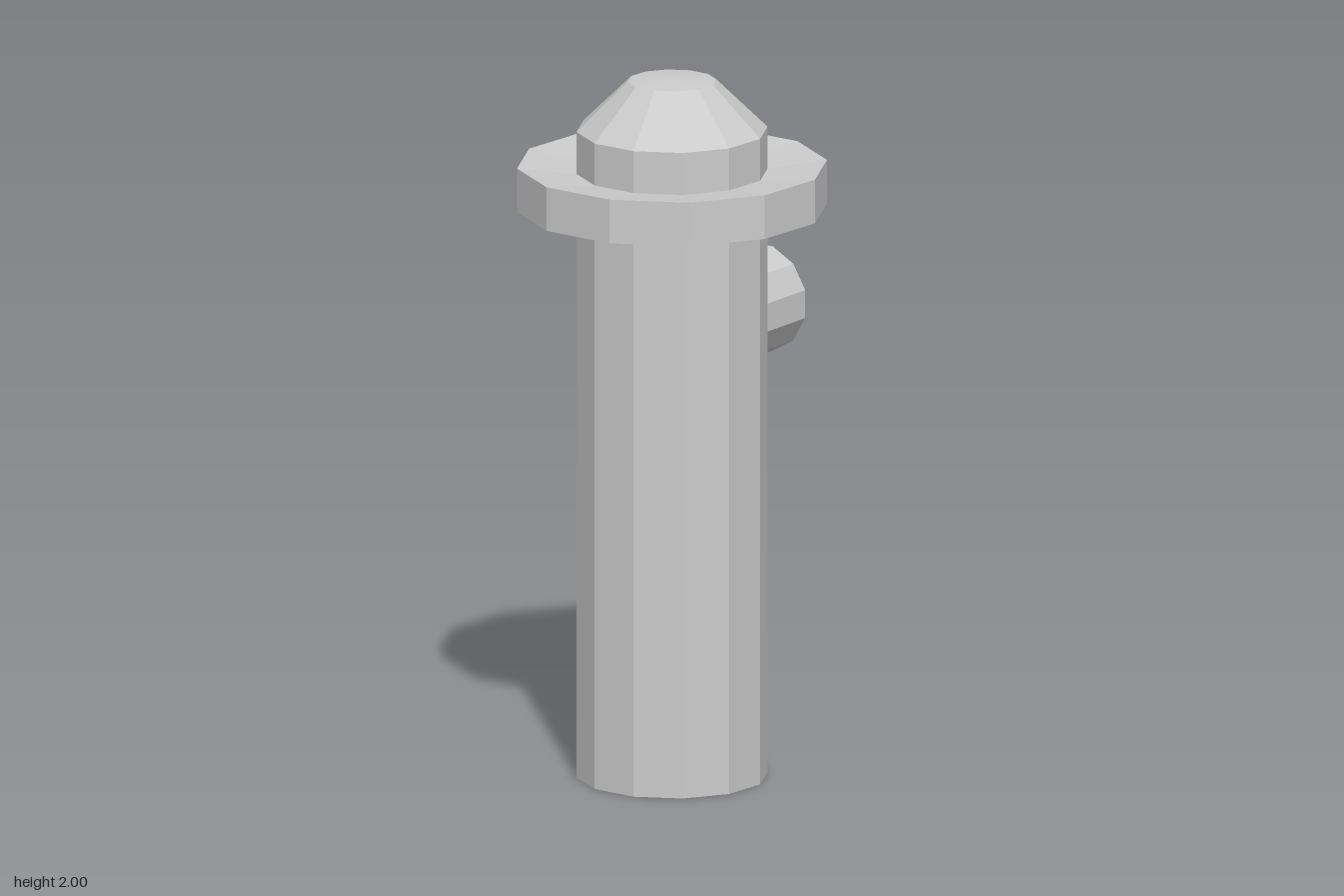
import * as THREE from 'three';

const SIDES = 12;
const material = new THREE.MeshStandardMaterial({ color: 0xcccccc, flatShading: true });

// Low-poly turned part from [radius, height] pairs, listed bottom to top
function turned(name, profile) {
  const points = profile.map(([r, y]) => new THREE.Vector2(r, y));
  const mesh = new THREE.Mesh(new THREE.LatheGeometry(points, SIDES), material);
  mesh.name = name;
  return mesh;
}

export function createModel() {
  const model = new THREE.Group();
  model.name = 'hydrant';

  // Column with its bevelled, slightly domed cap
  model.add(turned('column', [[0, 0], [0.267, 0], [0.267, 1.85]]));
  model.add(turned('cap', [[0.267, 1.85], [0.124, 1.99], [0, 2]]));

  // Flange whose upper face dips slightly towards the column
  model.add(turned('flange', [[0.26, 1.625], [0.433, 1.625], [0.433, 1.75], [0.26, 1.729]]));

  // Outlet stub on the back, turned a little to the model's right
  const length = 0.3;
  const stub = new THREE.CylinderGeometry(0.155, 0.155, length, SIDES, 1, false, Math.PI / SIDES);
  stub.translate(0, 0.42 - length / 2, 0);
  stub.rotateX(-Math.PI / 2);
  stub.rotateY(0.33);
  const outlet = new THREE.Mesh(stub, material);
  outlet.name = 'outlet';
  outlet.position.set(0.013, 1.285, 0);
  model.add(outlet);

  // The stub lengthens the back, so the axis sits just forward of centre
  model.position.z = 0.007;
  return model;
}
